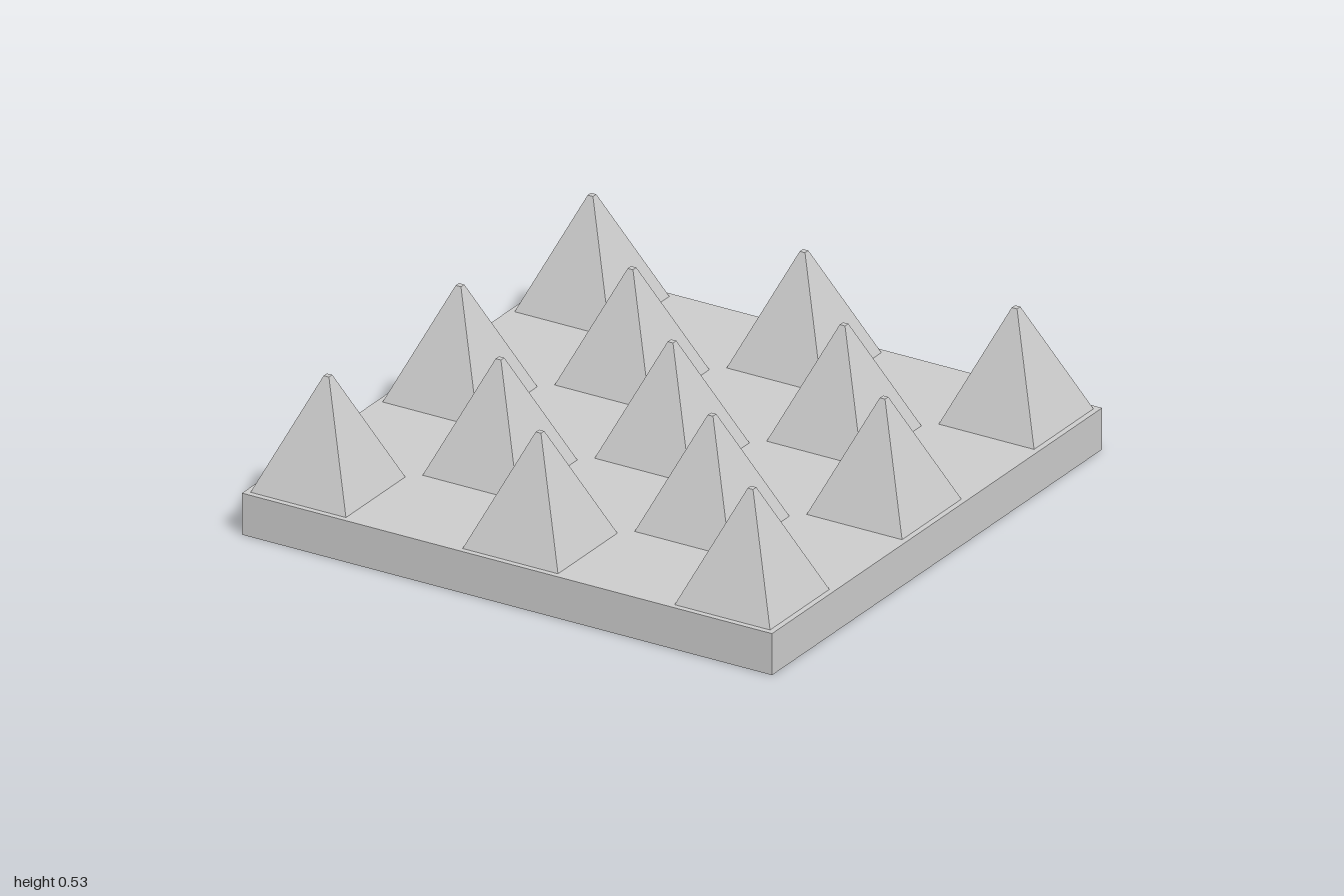
import * as THREE from 'three';

export function createModel() {
  const model = new THREE.Group();
  model.name = 'spikedPlate';
  const material = new THREE.MeshStandardMaterial({ color: 0xcccccc, flatShading: true });

  // Square base slab
  const baseHeight = 0.147;
  const base = new THREE.Mesh(new THREE.BoxGeometry(2, baseHeight, 2), material);
  base.name = 'basePlate';
  base.position.y = baseHeight / 2;
  model.add(base);

  // Four-sided spike with a tiny flat tip, sides square to the slab
  const spikeHeight = 0.387;
  const spikeGeometry = new THREE.CylinderGeometry(
    0.01 * Math.SQRT2, 0.18 * Math.SQRT2, spikeHeight, 4, 1, false, Math.PI / 4);

  // Spikes on alternate cells of a 5 x 5 checkerboard
  const spikes = new THREE.Group();
  spikes.name = 'spikes';
  for (let row = -2; row <= 2; row++) {
    for (let col = -2; col <= 2; col++) {
      if ((row + col) % 2 !== 0) continue;
      const spike = new THREE.Mesh(spikeGeometry, material);
      spike.name = 'spike';
      spike.position.set(col * 0.4, baseHeight + spikeHeight / 2, row * 0.4);
      spikes.add(spike);
    }
  }
  model.add(spikes);
  return model;
}
